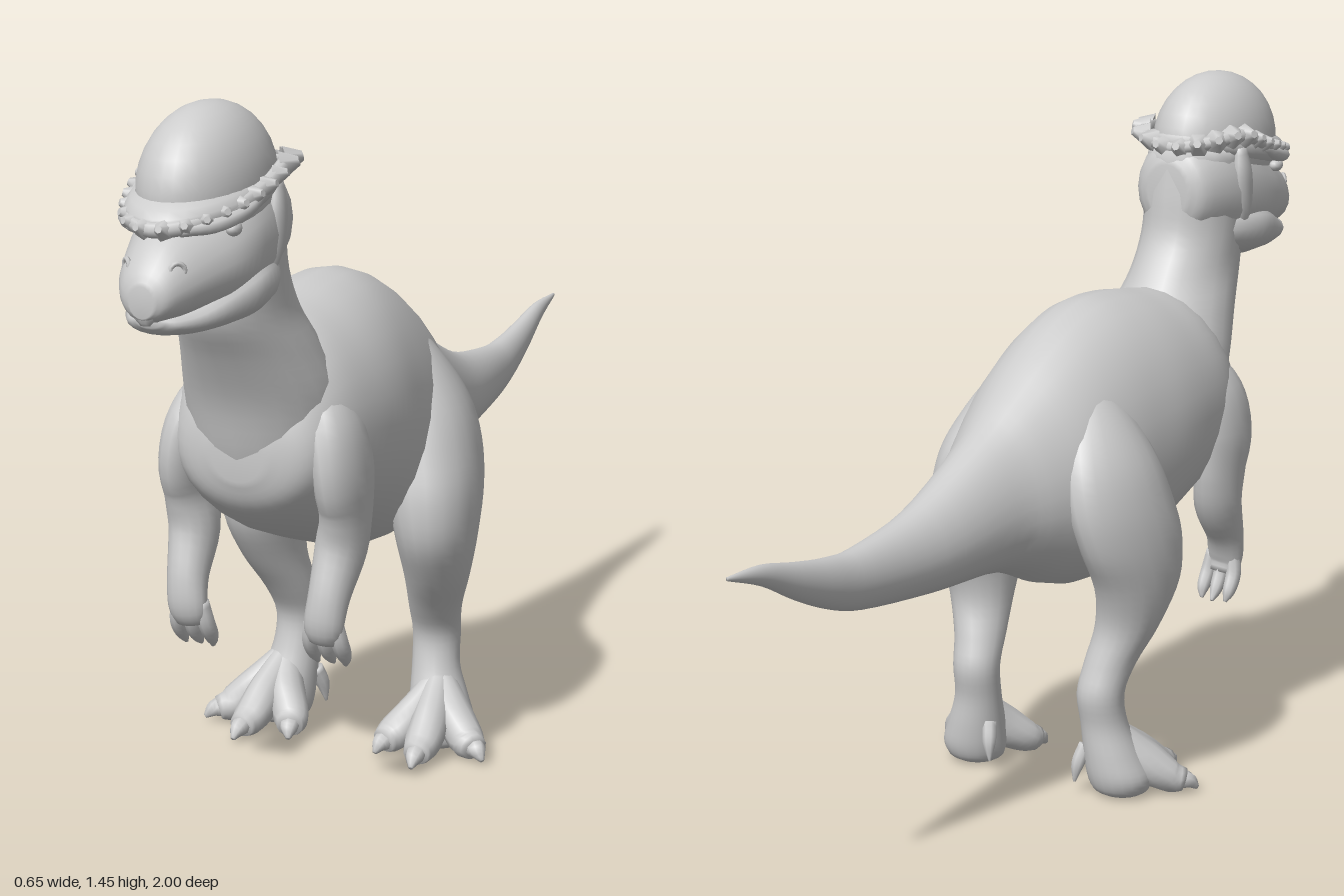
import * as THREE from 'three';

const skin = new THREE.MeshStandardMaterial({ color: 0xcccccc });
skin.name = 'light grey skin';

// Smooth loft through elliptical sections [x, y, z, halfWidth, halfDepth, egg].
// Sections follow the path unless a fixed axis is given.
function loft(points, { sides = 16, steps = 4, axis = null } = {}) {
  const path = new THREE.CatmullRomCurve3(points.map(p => new THREE.Vector3(p[0], p[1], p[2])), false, 'catmullrom', 0.5);
  const size = new THREE.CatmullRomCurve3(points.map(p => new THREE.Vector3(p[3], p[4], p[5] || 0)), false, 'catmullrom', 0.5);
  const n = (points.length - 1) * steps, pos = [], idx = [];
  for (let i = 0; i <= n; i++) {
    const c = path.getPoint(i / n), r = size.getPoint(i / n);
    const t = axis || path.getTangent(i / n);
    const side = new THREE.Vector3(1, 0, 0).addScaledVector(t, -t.x).normalize();
    const up = new THREE.Vector3().crossVectors(t, side);
    for (let j = 0; j < sides; j++) {
      const a = j / sides * Math.PI * 2;
      const w = Math.max(r.x, 0.001) * (1 - r.z * Math.sin(a));
      const v = c.clone().addScaledVector(side, Math.cos(a) * w)
        .addScaledVector(up, Math.sin(a) * Math.max(r.y, 0.001));
      pos.push(v.x, v.y, v.z);
    }
  }
  for (let i = 0; i < n; i++) for (let j = 0; j < sides; j++) {
    const k = (j + 1) % sides, a = i * sides, b = a + sides;
    idx.push(a + j, a + k, b + j, a + k, b + k, b + j);
  }
  // End caps
  const first = points[0], last = points[points.length - 1], s = pos.length / 3;
  pos.push(first[0], first[1], first[2], last[0], last[1], last[2]);
  for (let j = 0; j < sides; j++) {
    const k = (j + 1) % sides;
    idx.push(s, k, j, s + 1, n * sides + j, n * sides + k);
  }
  const g = new THREE.BufferGeometry();
  g.setAttribute('position', new THREE.Float32BufferAttribute(pos, 3));
  g.setIndex(idx);
  g.computeVertexNormals();
  return g;
}

function add(parent, name, geometry) {
  const m = new THREE.Mesh(geometry, skin);
  m.name = name;
  parent.add(m);
  return m;
}

function ball(parent, name, [x, y, z], [rx, ry, rz], detail = 12) {
  const m = add(parent, name, new THREE.SphereGeometry(1, detail * 2, detail));
  m.position.set(x, y, z);
  m.scale.set(rx, ry, rz);
  return m;
}

const Z = new THREE.Vector3(0, 0, 1), DOWN = new THREE.Vector3(0, -1, 0);
// Sections along z: [z, top, bottom, halfWidth, egg]
const alongZ = rows => rows.map(([z, t, b, w, e = 0]) => [0, (t + b) / 2, z, w, (t - b) / 2, e]);
const mirror = (points, s) => points.map(([x, ...rest]) => [x * s, ...rest]);

function buildHead() {
  const head = new THREE.Group();
  head.name = 'head';
  add(head, 'skull', loft(alongZ([
    [0.535, 1.27, 1.15, 0.05], [0.56, 1.31, 1.11, 0.09], [0.64, 1.34, 1.07, 0.118], [0.73, 1.33, 1.06, 0.128, 0.06],
    [0.81, 1.29, 1.07, 0.122, 0.12], [0.88, 1.255, 1.075, 0.1, 0.15], [0.94, 1.22, 1.075, 0.076, 0.1],
    [0.98, 1.18, 1.08, 0.052], [0.997, 1.15, 1.09, 0.025]]), { axis: Z, sides: 20 }));
  add(head, 'lower jaw', loft(alongZ([
    [0.6, 1.16, 1.08, 0.07], [0.66, 1.19, 1.045, 0.115], [0.75, 1.19, 1.035, 0.138], [0.83, 1.15, 1.036, 0.118],
    [0.9, 1.11, 1.042, 0.086], [0.95, 1.095, 1.052, 0.055], [0.97, 1.09, 1.068, 0.025]]), { axis: Z, sides: 18 }));
  add(head, 'beak tip', loft([[0, 1.14, 0.975, 0.04, 0.022], [0, 1.1, 0.983, 0.03, 0.014], [0, 1.075, 0.982, 0.01, 0.005]], { sides: 10 }));

  // Thick domed crown with a flared base
  ball(head, 'dome', [0, 1.295, 0.735], [0.117, 0.155, 0.182], 16).rotation.x = 0.12;
  ball(head, 'dome base', [0, 1.285, 0.75], [0.128, 0.055, 0.205], 14).rotation.x = 0.17;

  // Rim of bony knobs below the dome
  const half = [[0.05, 1.25, 0.925], [0.098, 1.27, 0.84], [0.122, 1.3, 0.74], [0.12, 1.33, 0.65], [0.082, 1.32, 0.58]];
  const rimPoints = [[0, 1.245, 0.95], ...half, [0, 1.305, 0.555], ...mirror(half, -1).reverse()];
  const rim = new THREE.CatmullRomCurve3(rimPoints.map(p => new THREE.Vector3(...p)), true);
  add(head, 'crown rim', new THREE.TubeGeometry(rim, 64, 0.015, 8, true));
  const up = new THREE.Vector3(0, 1, 0), knobs = 26;
  for (let i = 0; i < knobs; i++) {
    const p = rim.getPointAt((i + 0.5) / knobs);
    const out = new THREE.Vector3(p.x * 1.5, 0.05, p.z - 0.74).normalize();
    const big = p.z < 0.68 ? 1.3 : 1;
    const knob = add(head, 'crown knob', new THREE.CylinderGeometry(0.007 * big, 0.021 * big, 0.026 * big, 6));
    knob.position.copy(p).addScaledVector(out, 0.013);
    knob.quaternion.setFromUnitVectors(up, out);
  }

  for (const s of [1, -1]) {
    ball(head, 'eye', [0.104 * s, 1.235, 0.83], [0.014, 0.014, 0.02], 8);
    const nostril = add(head, 'nostril', new THREE.TorusGeometry(0.014, 0.005, 6, 12));
    nostril.position.set(0.052 * s, 1.175, 0.953);
    nostril.rotation.y = 0.75 * s;
    add(head, 'brow', loft(mirror([[0.05, 1.245, 0.935, 0.01, 0.01], [0.085, 1.25, 0.88, 0.022, 0.016],
      [0.112, 1.265, 0.81, 0.02, 0.016], [0.122, 1.29, 0.74, 0.008, 0.01]], s), { sides: 10 }));
    add(head, 'cheek fold', loft(mirror([[0.108, 1.3, 0.665, 0.012, 0.015], [0.112, 1.24, 0.67, 0.018, 0.028],
      [0.108, 1.17, 0.68, 0.018, 0.024], [0.1, 1.11, 0.69, 0.008, 0.01]], s), { sides: 10 }));
  }
  return head;
}

function buildArm(s) {
  const arm = new THREE.Group();
  arm.name = s > 0 ? 'left arm' : 'right arm';
  add(arm, 'arm', loft(mirror([
    [0.11, 0.87, 0.49, 0.03, 0.04], [0.148, 0.79, 0.5, 0.05, 0.085], [0.168, 0.7, 0.505, 0.05, 0.095],
    [0.17, 0.62, 0.495, 0.046, 0.078], [0.162, 0.545, 0.502, 0.05, 0.062], [0.156, 0.46, 0.543, 0.042, 0.042],
    [0.15, 0.4, 0.557, 0.041, 0.03], [0.147, 0.365, 0.548, 0.034, 0.02]], s)));
  for (const k of [-1, 0, 1]) {
    const x = 0.147 + k * 0.026;
    add(arm, 'finger', loft(mirror([[x, 0.41, 0.553, 0.014, 0.017], [x + k * 0.006, 0.365, 0.545, 0.017, 0.018],
      [x + k * 0.007, 0.33, 0.524, 0.014, 0.015], [x + k * 0.004, 0.308, 0.505 + Math.abs(k) * 0.008, 0.004, 0.004]], s), { sides: 8 }));
  }
  return arm;
}

function buildLeg(s) {
  const leg = new THREE.Group();
  leg.name = s > 0 ? 'left leg' : 'right leg';
  // The thigh is fuller at the front and melts into the hip behind
  add(leg, 'thigh and shin', loft(mirror([
    [0.075, 0.92, 0.08, 0.03, 0.03], [0.11, 0.83, 0.07, 0.072, 0.085, -0.1], [0.148, 0.74, 0.06, 0.088, 0.128, -0.2],
    [0.172, 0.65, 0.066, 0.092, 0.148, -0.22], [0.19, 0.56, 0.088, 0.087, 0.147, -0.2], [0.197, 0.47, 0.108, 0.078, 0.118, -0.1],
    [0.188, 0.38, 0.095, 0.066, 0.08], [0.168, 0.3, 0.058, 0.055, 0.06], [0.16, 0.235, 0.032, 0.051, 0.051],
    [0.163, 0.165, 0.042, 0.051, 0.05], [0.176, 0.1, 0.055, 0.062, 0.062], [0.187, 0.05, 0.065, 0.07, 0.068],
    [0.188, 0.018, 0.07, 0.062, 0.06], [0.188, 0.005, 0.075, 0.045, 0.045]], s), { sides: 20, axis: DOWN }));
  // Toes with claws: tip x, tip z, widest x
  const toes = [[0.1, 0.215, 0.12], [0.205, 0.265, 0.198], [0.322, 0.165, 0.27]];
  for (const [tx, tz, mx] of toes) {
    const mz = 0.07 + (tz - 0.07) * 0.62;
    add(leg, 'toe', loft(mirror([[0.178, 0.15, 0.055, 0.025, 0.025], [(0.185 + mx) / 2, 0.08, (0.06 + mz) / 2, 0.038, 0.045],
      [mx, 0.04, mz, 0.038, 0.036], [mx + (tx - mx) * 0.55, 0.03, mz + (tz - mz) * 0.55, 0.027, 0.025]], s), { sides: 12 }));
    add(leg, 'claw', loft(mirror([[mx + (tx - mx) * 0.3, 0.035, mz + (tz - mz) * 0.3, 0.022, 0.02],
      [mx + (tx - mx) * 0.7, 0.028, mz + (tz - mz) * 0.7, 0.019, 0.018], [tx, 0.012, tz, 0.005, 0.005]], s), { sides: 8 }));
  }
  add(leg, 'rear claw', loft(mirror([[0.125, 0.11, 0.03, 0.016, 0.016], [0.115, 0.07, 0.014, 0.015, 0.014],
    [0.11, 0.03, 0.008, 0.003, 0.003]], s), { sides: 8 }));
  return leg;
}

export function createModel() {
  const model = new THREE.Group();
  model.name = 'dome headed dinosaur';

  // Trunk and tail in one sweep
  add(model, 'body and tail', loft(alongZ([
    [-1, 0.735, 0.727, 0.004], [-0.9, 0.733, 0.69, 0.016], [-0.8, 0.712, 0.635, 0.026], [-0.7, 0.695, 0.59, 0.035],
    [-0.6, 0.692, 0.562, 0.045], [-0.4, 0.725, 0.54, 0.074, 0.1], [-0.2, 0.815, 0.53, 0.107, 0.14],
    [-0.1, 0.88, 0.505, 0.145, 0.15], [0, 0.95, 0.46, 0.185, 0.14], [0.1, 1.005, 0.435, 0.2, 0.1],
    [0.2, 1.034, 0.445, 0.207, 0.06], [0.3, 1.034, 0.48, 0.213, 0.04], [0.4, 1.02, 0.515, 0.208, 0.04],
    [0.5, 1.0, 0.555, 0.192, 0.06], [0.57, 0.94, 0.598, 0.165, 0.08], [0.61, 0.86, 0.64, 0.125, 0.08],
    [0.63, 0.79, 0.69, 0.055]]), { axis: Z, sides: 28 }));

  // Neck flowing down into the chest
  add(model, 'neck', loft([
    [0, 1.3, 0.675, 0.105, 0.135], [0, 1.2, 0.665, 0.107, 0.138], [0, 1.11, 0.645, 0.106, 0.13],
    [0, 1.03, 0.615, 0.11, 0.147], [0, 0.95, 0.565, 0.132, 0.15], [0, 0.85, 0.515, 0.155, 0.15],
    [0, 0.74, 0.49, 0.15, 0.142], [0, 0.65, 0.48, 0.12, 0.115]], { axis: DOWN, sides: 20 }));

  model.add(buildHead());
  for (const s of [1, -1]) model.add(buildArm(s), buildLeg(s));
  return model;
}
